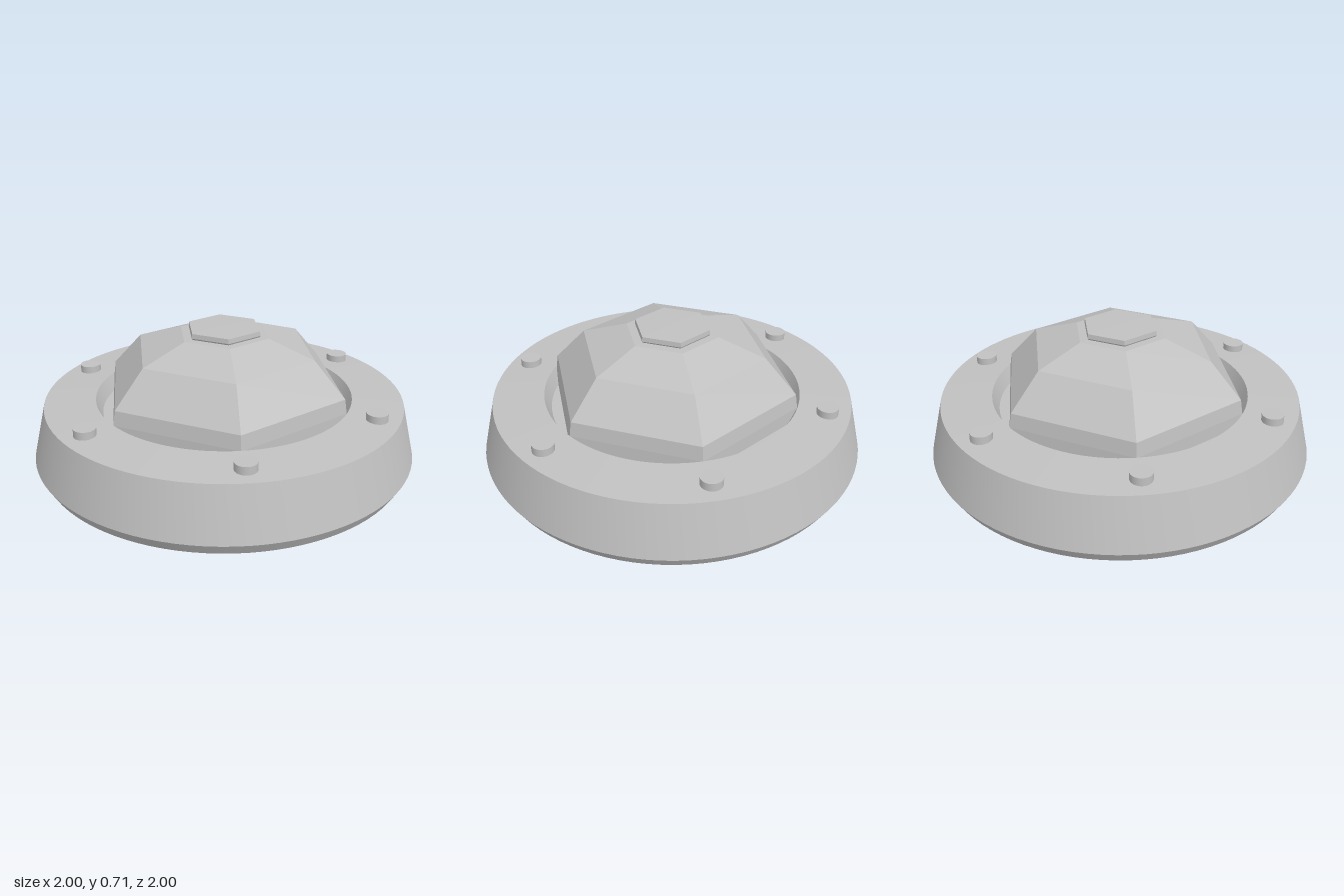
import * as THREE from 'three';
import { toCreasedNormals } from 'three/addons/utils/BufferGeometryUtils.js';

const grey = new THREE.MeshStandardMaterial({ color: 0xc0c0c0 });
grey.name = 'plain grey';

// Turned or faceted solid from a profile listed bottom to top
function turned(name, profile, sides, crease) {
  const points = profile.map(([r, y]) => new THREE.Vector2(r, y));
  const lathe = new THREE.LatheGeometry(points, sides, Math.PI / 2);
  const mesh = new THREE.Mesh(toCreasedNormals(lathe, crease), grey);
  mesh.name = name;
  return mesh;
}

export function createModel() {
  const model = new THREE.Group();
  model.name = 'domedFitting';

  // Round base with a chamfered foot, sloped side and shallow recess
  model.add(turned('base', [
    [0, 0], [0.965, 0], [1, 0.06], [0.935, 0.33], [0.67, 0.345],
    [0.637, 0.27], [0, 0.27],
  ], 96, 0.3));

  // Six-sided faceted dome rising from the recess
  model.add(turned('dome', [
    [0.67, 0.27], [0.667, 0.34], [0.655, 0.415], [0.49, 0.595], [0.245, 0.677], [0, 0.68],
  ], 6, 0.01));

  // Hexagonal cap on the dome
  model.add(turned('cap', [
    [0.19, 0.67], [0.2, 0.685], [0.197, 0.709], [0, 0.714],
  ], 6, 0.01));

  // Ring of six bolt heads
  const boltShape = new THREE.CylinderGeometry(0.055, 0.055, 0.05, 32);
  for (let i = 0; i < 6; i++) {
    const a = (i * Math.PI) / 3;
    const bolt = new THREE.Mesh(boltShape, grey);
    bolt.name = `bolt${i + 1}`;
    bolt.position.set(0.82 * Math.cos(a), 0.35, 0.82 * Math.sin(a));
    model.add(bolt);
  }
  return model;
}
